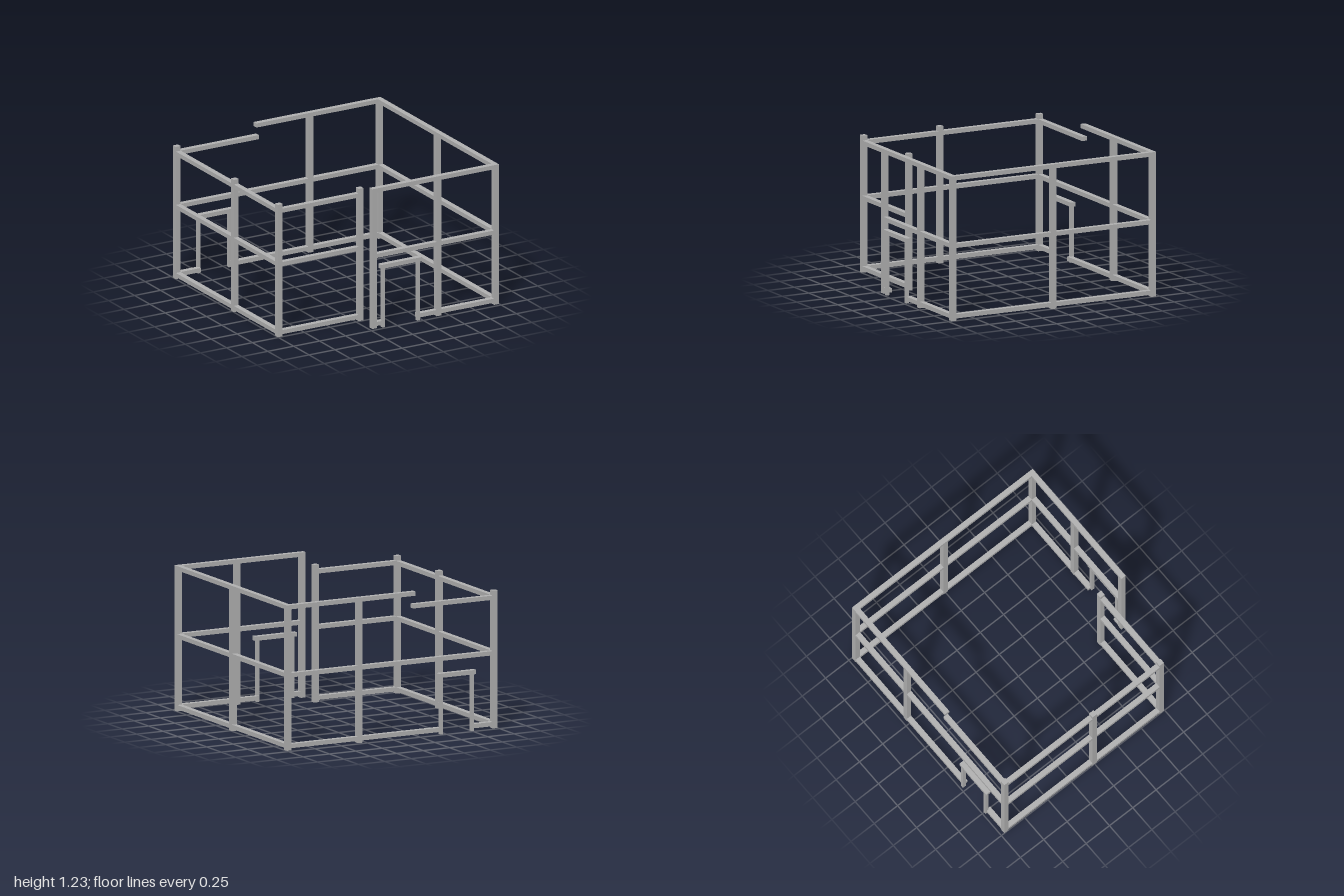
import * as THREE from 'three';

export function createModel() {
  const model = new THREE.Group();
  model.name = 'houseFrame';
  const grey = new THREE.MeshStandardMaterial({ color: 0xb0b0b0 });
  grey.name = 'grey timber';

  const T = 0.046; // post width and beam depth
  const H = 0.036; // beam height
  const LEFT = -0.977, RIGHT = 0.975, STEP = -0.199;
  const BACK = -0.945, FRONT = 0.945, RECESS = 0.72;
  const BASE = 0.037, MID = 0.637, LOW_TOP = 1.107, HIGH_TOP = 1.213;

  // Box between two corners
  function bar(name, x0, x1, y0, y1, z0, z1, parent = model) {
    const mesh = new THREE.Mesh(new THREE.BoxGeometry(x1 - x0, y1 - y0, z1 - z0), grey);
    mesh.position.set((x0 + x1) / 2, (y0 + y1) / 2, (z0 + z1) / 2);
    mesh.name = name;
    parent.add(mesh);
  }
  const post = (name, x, z, h) => bar(name, x - T / 2, x + T / 2, 0, h, z - T / 2, z + T / 2);
  const beamX = (name, x0, x1, y, z) => bar(name, x0, x1, y - H / 2, y + H / 2, z - T / 2, z + T / 2);
  const beamZ = (name, z0, z1, y, x) => bar(name, x - T / 2, x + T / 2, y - H / 2, y + H / 2, z0, z1);

  // Low section posts rise above their top beams
  for (const [x, z] of [[LEFT, BACK], [LEFT, 0], [LEFT, RECESS], [STEP, RECESS]]) post('lowPost', x, z, 1.166);

  // High section posts stop beneath the top beams
  const under = HIGH_TOP - H / 2;
  for (const [x, z] of [[STEP, FRONT], [0.421, FRONT], [RIGHT, FRONT], [RIGHT, 0], [RIGHT, BACK], [0.302, BACK]])
    post('highPost', x, z, under);

  // Top beams
  const h = T / 2;
  beamX('frontTopBeam', STEP - h, RIGHT + h, HIGH_TOP, FRONT);
  beamX('backTopBeam', STEP - h, RIGHT + h, HIGH_TOP, BACK);
  beamZ('rightTopBeam', BACK + h, FRONT - h, HIGH_TOP, RIGHT);
  beamX('recessTopBeam', LEFT + h, STEP - h, LOW_TOP, RECESS);
  beamX('backLowTopBeam', LEFT + h, STEP, LOW_TOP, BACK);
  beamZ('leftTopBeam', BACK + h, RECESS - h, LOW_TOP, LEFT);

  // Middle and base rails on the walls without doors
  for (const [level, y] of [['Middle', MID], ['Base', BASE]]) {
    beamZ('left' + level + 'Rail', BACK + h, RECESS - h, y, LEFT);
    beamZ('right' + level + 'Rail', BACK + h, FRONT - h, y, RIGHT);
    beamX('recess' + level + 'Rail', LEFT + h, STEP - h, y, RECESS);
  }
  beamX('frontMiddleRail', STEP + h, RIGHT - h, MID, FRONT);
  beamX('backMiddleRail', LEFT + h, RIGHT - h, MID, BACK);

  // Door frames, with the base rail broken between the jambs
  function door(name, side, z, wall0, wall1, jambs, lintel, top) {
    const frame = new THREE.Group();
    frame.name = name;
    model.add(frame);
    const span = (a, b) => (side > 0 ? [a, b] : [-b, -a]);
    for (const x of jambs) bar('doorJamb', x - 0.0125, x + 0.0125, 0, top - H, ...span(0.95, 0.981), frame);
    bar('doorLintel', lintel[0], lintel[1], top - H, top, ...span(0.94, 0.987), frame);
    beamX('doorBaseRail', wall0, jambs[0], BASE, z);
    beamX('doorBaseRail', jambs[1], wall1, BASE, z);
  }
  door('frontDoor', 1, FRONT, STEP + h, RIGHT - h, [-0.12, 0.215], [-0.149, 0.247], 0.556);
  door('backDoor', -1, BACK, LEFT + h, RIGHT - h, [-0.757, -0.46], [-0.786, -0.433], 0.516);

  return model;
}
